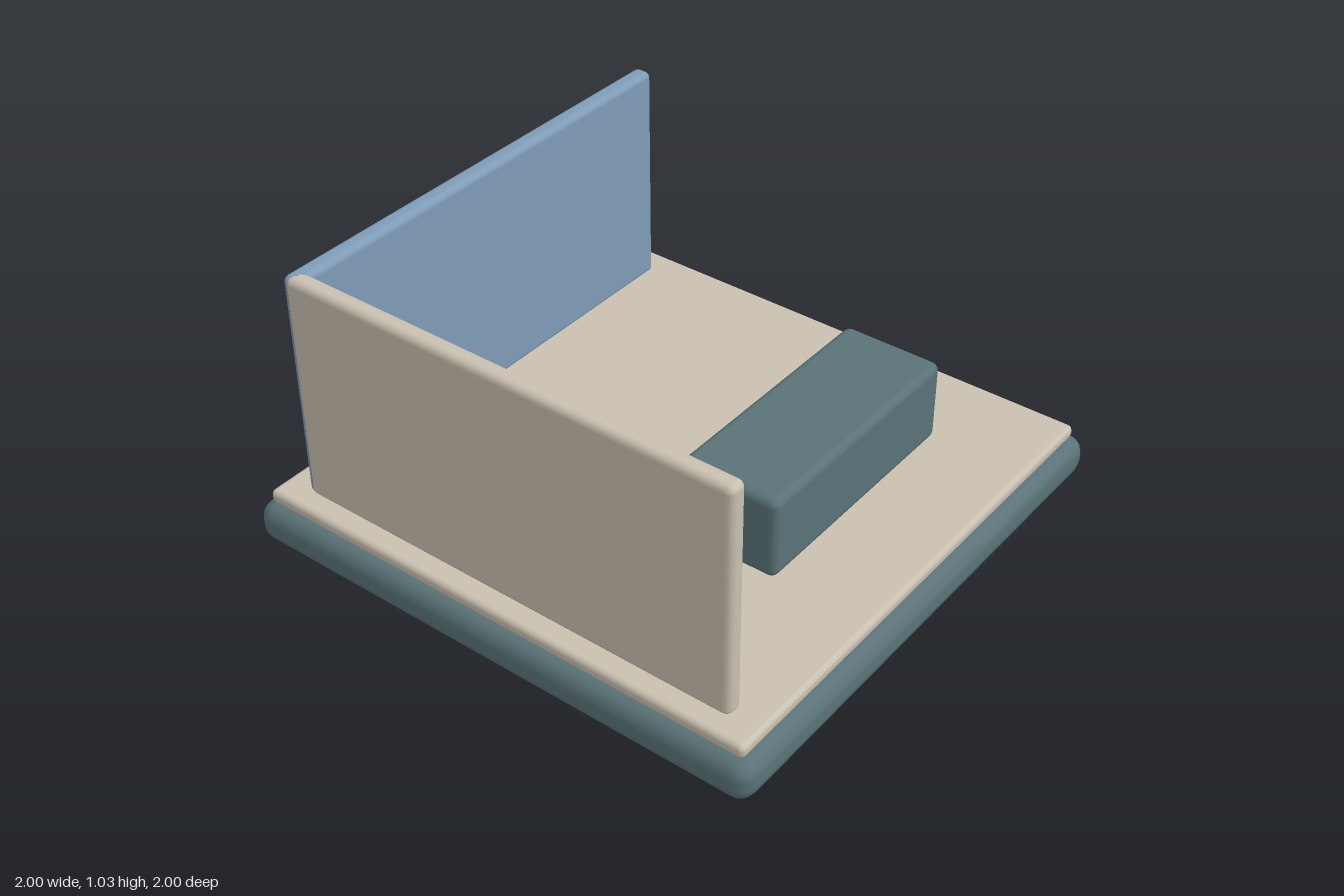
import * as THREE from 'three';
import { RoundedBoxGeometry } from 'three/addons/geometries/RoundedBoxGeometry.js';

function material(name, color) {
  const m = new THREE.MeshStandardMaterial({ color });
  m.name = name;
  return m;
}

export function createModel() {
  const group = new THREE.Group();
  group.name = 'roomCorner';
  const slate = material('slate', 0x5a7378);
  const sand = material('sand', 0xc9c0b0);
  const blue = material('blue', 0x7f9cb8);

  // Soft-edged block given by its extents on each axis
  function block(name, mat, [x0, x1], [y0, y1], [z0, z1], radius) {
    const geometry = new RoundedBoxGeometry(x1 - x0, y1 - y0, z1 - z0, 2, radius);
    const mesh = new THREE.Mesh(geometry, mat);
    mesh.name = name;
    mesh.position.set((x0 + x1) / 2, (y0 + y1) / 2, (z0 + z1) / 2);
    group.add(mesh);
  }

  // Plinth and the floor slab on it
  block('base', slate, [-1, 1], [0, 0.15], [-1, 1], 0.06);
  block('floor', sand, [-0.96, 0.96], [0.15, 0.2], [-0.96, 0.96], 0.02);

  // Two walls meeting at the back corner
  block('backWall', blue, [-0.875, 0.87], [0.185, 1.03], [-0.865, -0.795], 0.025);
  block('sideWall', sand, [-0.88, -0.81], [0.185, 1.03], [-0.85, 0.85], 0.025);

  // Low bench standing on the floor
  block('bench', slate, [-0.325, 0.62], [0.2, 0.505], [0.24, 0.615], 0.03);

  return group;
}
